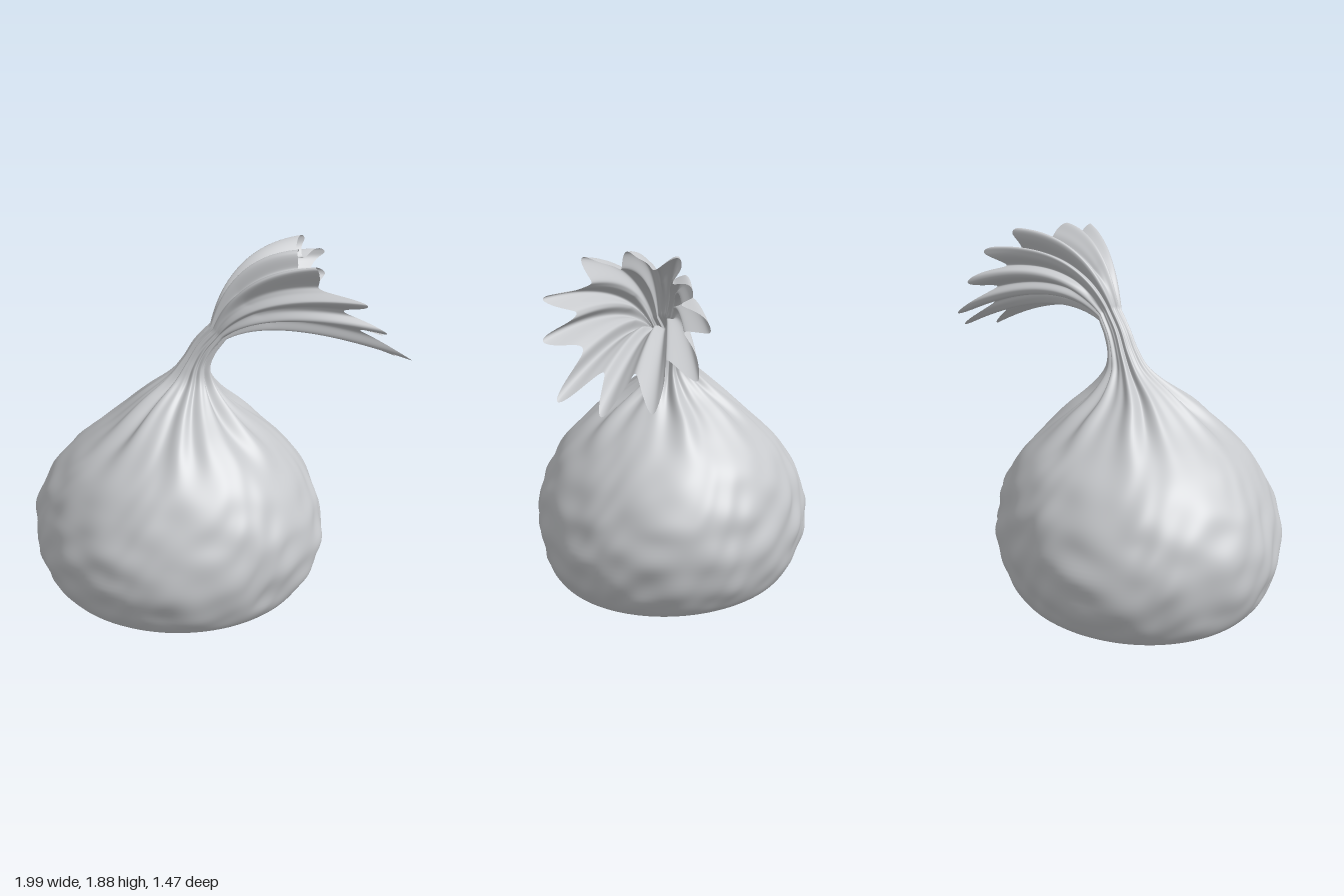
import * as THREE from 'three';

const SEG = 286, BODY_ROWS = 110, FAN_ROWS = 44, FOLDS = 11;
const V = (x, y, z) => new THREE.Vector3(x, y, z);

// Stations up the sack: centre x, y, z, then half width, half depth, tilt to the side
const stations = [
  [-.21, 0, 0, 0, 0, 0], [-.21, .002, 0, .3, .28, 0], [-.21, .006, 0, .56, .51, 0],
  [-.21, .025, 0, .64, .58, 0], [-.21, .07, 0, .7, .64, 0], [-.21, .18, 0, .755, .695, 0],
  [-.21, .35, 0, .785, .73, 0], [-.21, .5, 0, .76, .71, 0], [-.205, .6, 0, .72, .68, 0],
  [-.2, .7, 0, .66, .63, 0], [-.195, .8, .005, .575, .565, 0], [-.185, .9, .01, .465, .46, 0],
  [-.18, 1, .01, .34, .345, 0], [-.165, 1.1, 0, .225, .21, .05], [-.135, 1.2, -.02, .12, .105, .15],
  [-.11, 1.29, -.03, .072, .072, .3], [-.065, 1.38, -.035, .06, .06, .55], [.005, 1.465, -.04, .052, .058, .75],
];
const spline = (pts, closed = false) => new THREE.CatmullRomCurve3(pts, closed, 'catmullrom', .5);
const centres = spline(stations.map(s => V(s[0], s[1], s[2])));
const sizes = spline(stations.map(s => V(s[3], s[4], s[5])));

// Tips of the frilled mouth, in order around the opening
const FIRST_TIP = -.17;
const rim = spline([
  [.94, 1.25, -.27], [1, 1.31, -.08], [.84, 1.53, .1], [.73, 1.7, .17], [.48, 1.86, .11], [.39, 1.89, -.09],
  [.41, 1.88, -.38], [.53, 1.76, -.51], [.54, 1.6, -.61], [.68, 1.4, -.62], [.88, 1.28, -.5],
].map(p => V(...p)), true);

// 1 on a fold's ridge, 0 in its valley
const ridge = a => .5 + .5 * Math.cos(FOLDS * (a - FIRST_TIP));

// Soft lumps and wrinkles of the filled part
function lumps(a, y) {
  const s = Math.sin;
  const broad = s(3 * a + 5 * y + 1) + s(5 * a - 7 * y + 2.3) * .8;
  const fine = s(9 * a + 14 * y + 2 * s(4 * a)) + s(13 * a - 19 * y + 1.5 * s(3 * a + 9 * y))
    + s(6 * a + 33 * y + 2 * s(5 * a + 1)) + s(21 * a + 25 * y + 2 * s(7 * a));
  const low = THREE.MathUtils.smoothstep(y, .03, .2), high = 1 - THREE.MathUtils.smoothstep(y, .5, 1);
  return low * (.005 * broad * (.3 + .7 * high) + .0032 * fine * (.1 + .9 * high));
}

// Point on the sack from the base (t = 0) to the tie (t = 1)
function bodyPoint(a, t) {
  const c = centres.getPoint(t), r = sizes.getPoint(t);
  const gather = THREE.MathUtils.smoothstep(c.y, .78, 1.22);
  const pleat = gather * (.2 * (ridge(a + .12 * Math.sin(2 * a) * (1 - t)) - .5) + .06 * Math.sin(17 * a + 1) + .04 * Math.sin(7 * a));
  const k = 1 + pleat;
  const ux = Math.cos(a) * (r.x * k + lumps(a, c.y)), uz = Math.sin(a) * (r.y * k + lumps(a, c.y));
  return V(c.x + ux * Math.cos(r.z), Math.max(0, c.y - ux * Math.sin(r.z)), c.z + uz);
}

// Spine of the frill, used to draw the valleys inward
const tie = centres.getPoint(1);
const spine = new THREE.QuadraticBezierCurve3(tie, tie.clone().add(V(.18, .25, -.05)), V(.64, 1.57, -.2));

// Curve running from the tie to the rim at angle a
function fanCurve(a) {
  const start = bodyPoint(a, 1);
  const u = (a - FIRST_TIP) / (2 * Math.PI);
  const end = rim.getPoint(u - Math.floor(u));
  const under = .5 + .5 * Math.cos(a);
  const bend = V(.08 + .18 * under, .38 - .25 * under, .35 * (end.z - start.z));
  return new THREE.QuadraticBezierCurve3(start, start.clone().add(bend), end);
}

function fanPoint(a, curve, s) {
  const valley = 1 - ridge(a);
  const t = s * (1 - .12 * valley);
  const depth = (.24 * valley + .025 * (1 + Math.sin(23 * a + 1))) * Math.min(1, 2.5 * s);
  return curve.getPoint(t).lerp(spine.getPoint(t), depth);
}

// Smooth skin over rows of points, joined around each ring
function skin(rows) {
  const positions = [], index = [];
  rows.forEach(row => row.forEach(p => positions.push(p.x, p.y, p.z)));
  for (let j = 0; j < rows.length - 1; j++) {
    for (let i = 0; i < SEG; i++) {
      const n = (i + 1) % SEG;
      const a = j * SEG + i, b = j * SEG + n, c = a + SEG, d = b + SEG;
      index.push(a, c, b, b, c, d);
    }
  }
  const g = new THREE.BufferGeometry();
  g.setAttribute('position', new THREE.Float32BufferAttribute(positions, 3));
  g.setIndex(index);
  g.computeVertexNormals();
  return g;
}

export function createModel() {
  const group = new THREE.Group();
  group.name = 'tiedSack';
  const cloth = new THREE.MeshStandardMaterial({ color: 0xc6c8cb, side: THREE.DoubleSide });
  cloth.name = 'pale grey cloth';

  const angles = Array.from({ length: SEG }, (_, i) => (i / SEG) * 2 * Math.PI);
  const rows = [];
  // Filled body and gathered neck
  for (let j = 0; j <= BODY_ROWS; j++) rows.push(angles.map(a => bodyPoint(a, j / BODY_ROWS)));
  // Pleated frill above the tie
  const curves = angles.map(fanCurve);
  for (let j = 1; j <= FAN_ROWS; j++) rows.push(angles.map((a, i) => fanPoint(a, curves[i], j / FAN_ROWS)));

  const sack = new THREE.Mesh(skin(rows), cloth);
  sack.name = 'sackWithFrilledTop';
  group.add(sack);
  return group;
}
